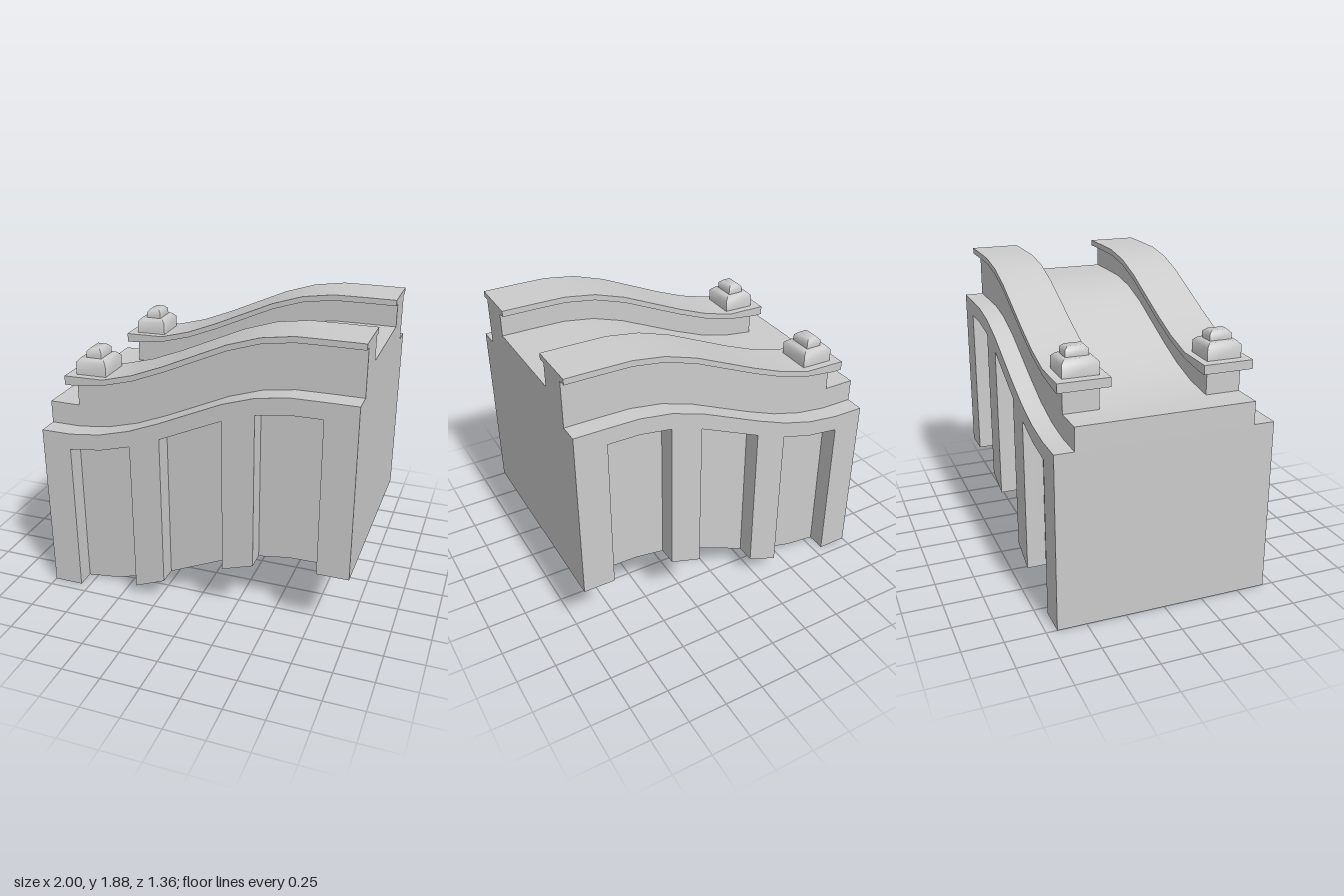
import * as THREE from 'three';
import { toCreasedNormals } from 'three/addons/utils/BufferGeometryUtils.js';

const material = new THREE.MeshStandardMaterial({ color: 0xcccccc });

// Rise of the slope at each 0.2 step from x = -1 to x = 1
const RISE = [0, 0, 0.025, 0.08, 0.16, 0.25, 0.34, 0.405, 0.435, 0.437, 0.437];
const rise = (x) => {
  const t = Math.min(Math.max((x + 1) / 0.2, 0), 9.9999);
  const i = Math.floor(t);
  return RISE[i] + (RISE[i + 1] - RISE[i]) * (t - i);
};

// Points following the slope at height y, from x0 to x1
function slope(x0, x1, y) {
  const xs = [x0];
  for (let i = 0; i <= 10; i++) {
    const x = -1 + i * 0.2;
    if (x > x0 + 0.001 && x < x1 - 0.001) xs.push(x);
  }
  xs.push(x1);
  return xs.map((x) => new THREE.Vector2(x, y + rise(x)));
}

// Side outline extruded between two z planes
function slab(name, outline, z0, z1) {
  const geo = new THREE.ExtrudeGeometry(new THREE.Shape(outline), { depth: z1 - z0, bevelEnabled: false });
  geo.translate(0, 0, z0);
  const mesh = new THREE.Mesh(toCreasedNormals(geo, 0.5), material);
  mesh.name = name;
  return mesh;
}

const band = (x0, x1, y0, y1) => [...slope(x0, x1, y0), ...slope(x0, x1, y1).reverse()];

// Block with a chamfered top, standing on y = 0
function chamferedBlock(name, w, h, d, c) {
  const geo = new THREE.BoxGeometry(w, h, d, 1, 2, 1);
  geo.translate(0, h / 2, 0);
  const p = geo.attributes.position;
  for (let i = 0; i < p.count; i++) {
    const y = p.getY(i);
    if (y > h * 0.75) {
      p.setX(i, p.getX(i) * (1 - (2 * c) / w));
      p.setZ(i, p.getZ(i) * (1 - (2 * c) / d));
    } else if (y > h * 0.25) p.setY(i, h - c);
  }
  // Rebuild the top as its own faces, then soften the chamfer
  const mesh = new THREE.Mesh(toCreasedNormals(geo, 0.9), material);
  mesh.name = name;
  return mesh;
}

export function createModel() {
  const model = new THREE.Group();
  model.name = 'slopedBlock';

  // Solid core of the wall
  model.add(slab('wallCore', band(-1, 1, 0, 1.11), -0.56, 0.56));

  // Pillared facing with three recesses open at the bottom
  const facing = [];
  let x = -1;
  for (const [a, b] of [[-0.81, -0.4], [-0.2, 0.2], [0.4, 0.8]]) {
    facing.push(...slope(x, a, 0), ...slope(a, b, 1.005));
    x = b;
  }
  facing.push(...slope(x, 1, 0), ...slope(-1, 1, 1.11).reverse());
  model.add(slab('frontFacing', facing, 0.56, 0.682));
  model.add(slab('backFacing', facing, -0.682, -0.56));

  // Raised bed on top of the wall
  const top = new THREE.Group();
  top.name = 'topSection';
  top.position.z = -0.006;
  model.add(top);
  top.add(slab('bed', band(-1, 1, 1.11, 1.255), -0.556, 0.556));

  // Flange outline, thicker and level at its low end
  const flange = [
    ...slope(-0.86, 1, 1.403),
    ...slope(-0.6, 1, 1.44).reverse(),
    new THREE.Vector2(-0.86, 1.46),
  ];

  for (const side of [1, -1]) {
    const rail = new THREE.Group();
    rail.name = side > 0 ? 'frontRail' : 'backRail';
    rail.position.z = side * 0.446;

    // Upright web set under the wider flange
    rail.add(slab('railWeb', band(-0.8, 1, 1.255, 1.405), -0.11, 0.11));
    rail.add(slab('railFlange', flange, -0.159, 0.159));

    // Stepped cap at the low end
    const base = chamferedBlock('capBase', 0.2, 0.115, 0.222, 0.024);
    base.position.set(-0.7, 1.45, 0);
    const knob = chamferedBlock('capKnob', 0.1, 0.06, 0.142, 0.02);
    knob.position.set(-0.695, 1.563, 0);
    rail.add(base, knob);
    top.add(rail);
  }
  return model;
}
